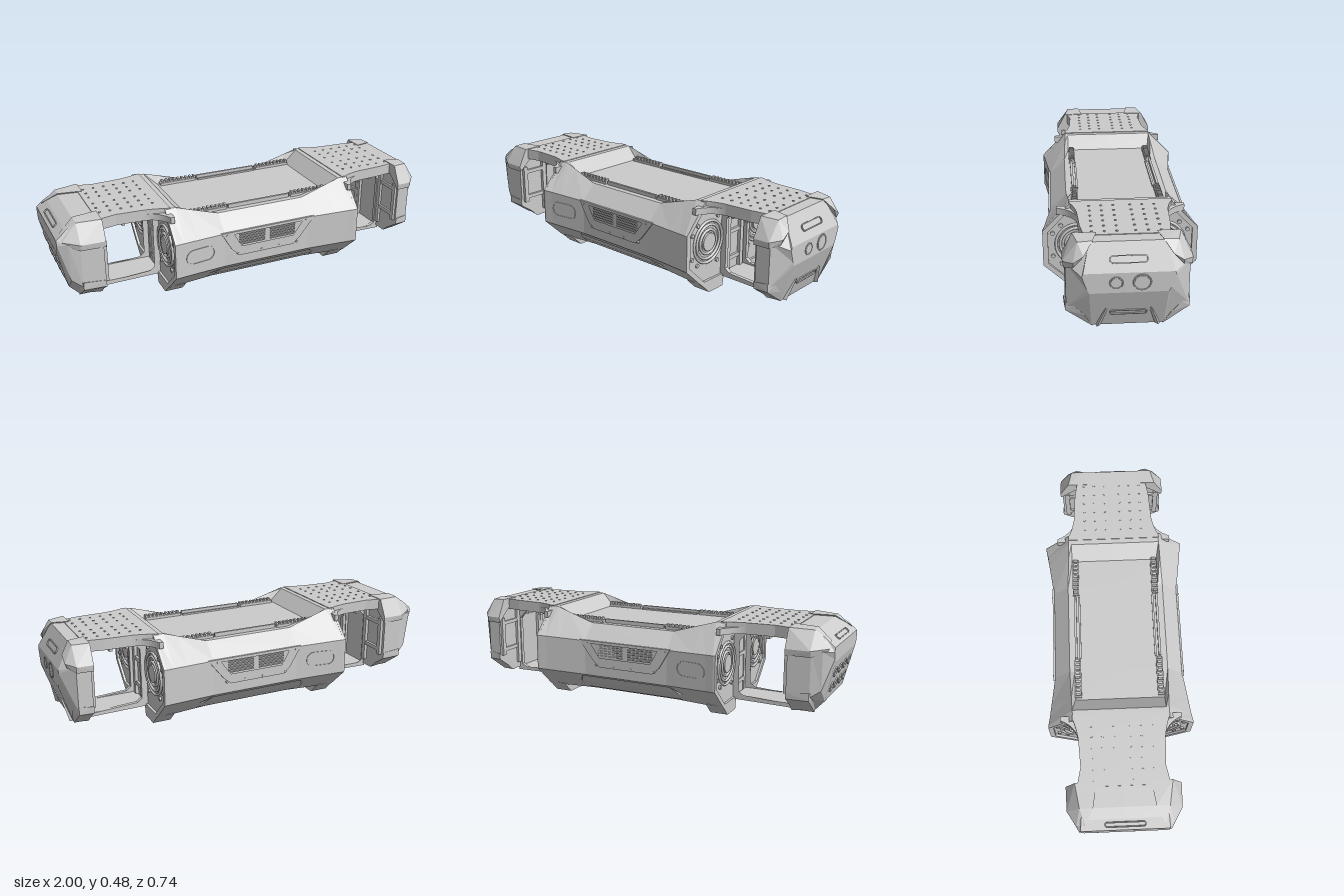
import * as THREE from 'three';
import { ConvexGeometry } from 'three/addons/geometries/ConvexGeometry.js';

const mat = new THREE.MeshStandardMaterial({ color: 0xcccccc });

// Closed flat-shaded skin through sections [x, half outline of [z, y]], x increasing
function loft(sections) {
  const rings = sections.map(([x, half]) => {
    const back = half.slice(1, -1).reverse().map(([z, y]) => [-z, y]);
    return [...half, ...back].map(([z, y]) => [x, y, z]);
  });
  const n = rings[0].length, pos = [], last = rings[rings.length - 1];
  const tri = (...p) => p.forEach((v) => pos.push(...v));
  for (let i = 0; i < rings.length - 1; i++) for (let j = 0; j < n; j++) {
    const k = (j + 1) % n, a = rings[i], b = rings[i + 1];
    tri(a[j], b[j], a[k]);
    tri(a[k], b[j], b[k]);
  }
  for (let j = 1; j < n - 1; j++) {
    tri(rings[0][0], rings[0][j], rings[0][j + 1]);
    tri(last[0], last[j + 1], last[j]);
  }
  const g = new THREE.BufferGeometry();
  g.setAttribute('position', new THREE.Float32BufferAttribute(pos, 3));
  g.computeVertexNormals();
  return g;
}

// Mirror across z with corrected winding
function mirrorZ(geo) {
  const g = geo.index ? geo.toNonIndexed() : geo.clone();
  g.scale(1, 1, -1);
  for (const a of Object.values(g.attributes)) {
    const s = a.itemSize;
    for (let t = 0; t < a.count; t += 3) for (let c = 0; c < s; c++) {
      const p = (t + 1) * s + c, q = (t + 2) * s + c, v = a.array[p];
      a.array[p] = a.array[q];
      a.array[q] = v;
    }
  }
  return g;
}

const hull = (pts) => new ConvexGeometry(pts.map((p) => new THREE.Vector3(...p)));
const box = (x0, x1, y0, y1, z0, z1) =>
  new THREE.BoxGeometry(x1 - x0, y1 - y0, z1 - z0).translate((x0 + x1) / 2, (y0 + y1) / 2, (z0 + z1) / 2);
const poly = (pts) => new THREE.Shape(pts.map((p) => new THREE.Vector2(...p)));
const extrude = (shape, depth) => new THREE.ExtrudeGeometry(shape, { depth, bevelEnabled: false, curveSegments: 10 });
const discX = (r, h, x, y, z, seg = 24) =>
  new THREE.CylinderGeometry(r, r, h, seg).rotateZ(Math.PI / 2).translate(x, y, z);

// Rounded-end slot outline
function pillShape(w, h) {
  const s = new THREE.Shape(), a = w / 2 - h / 2;
  s.absarc(a, 0, h / 2, -Math.PI / 2, Math.PI / 2);
  s.absarc(-a, 0, h / 2, Math.PI / 2, Math.PI * 1.5);
  s.closePath();
  return s;
}
function pillRim(w, h, t) {
  const s = pillShape(w, h);
  s.holes.push(pillShape(w - 2 * t, h - 2 * t));
  return extrude(s, 0.006);
}

export function createModel() {
  const root = new THREE.Group();
  const add = (name, geo) => {
    const m = new THREE.Mesh(geo, mat);
    m.name = name;
    root.add(m);
  };
  const addPair = (name, geo) => { add(name, geo); add(name, mirrorZ(geo)); };

  // Main hull: flared ends, narrower waist, sunken top panel
  const rib = (t, yOuter, yInner) => {
    const L = (a, b) => a + (b - a) * t;
    return [[0, 0.05], [L(0.25, 0.22), 0.05], [L(0.368, 0.33), L(0.16, 0.15)], [L(0.368, 0.33), L(0.34, 0.33)],
      [L(0.237, 0.25), yOuter], [0.225, yInner], [0, yInner]];
  };
  add('hull', loft([
    [-0.46, rib(0, 0.477, 0.477)], [-0.42, rib(0.2, 0.476, 0.476)], [-0.35, rib(0.45, 0.455, 0.41)],
    [-0.2, rib(1, 0.41, 0.41)], [0.27, rib(1, 0.41, 0.41)],
    [0.42, rib(0.45, 0.455, 0.41)], [0.49, rib(0.2, 0.476, 0.476)], [0.53, rib(0, 0.477, 0.477)],
  ]));

  // Octagonal end rims, hip motor flanges, bolts and feet
  const oct = (k) => [[0.25, 0.05], [0.368, 0.16], [0.368, 0.34], [0.237, 0.478]]
    .map(([z, y]) => [z * k, 0.265 + (y - 0.265) * k]);
  const full = (h) => [...h, ...h.slice().reverse().map(([z, y]) => [-z, y])];
  for (const [x, d] of [[0.53, 1], [-0.46, -1]]) {
    const rim = poly(full(oct(1)));
    rim.holes.push(poly(full(oct(0.93))));
    add('endRim', extrude(rim, 0.012).rotateY(Math.PI / 2).translate(d > 0 ? x : x - 0.012, 0, 0));
    for (const r of [0.105, 0.085, 0.06])
      addPair('hipRing', new THREE.TorusGeometry(r, 0.007, 8, 40).rotateY(Math.PI / 2).translate(x + d * 0.004, 0.265, 0.2));
    addPair('hipHub', discX(0.045, 0.016, x + d * 0.004, 0.265, 0.2));
    for (const [z, y] of [[0.32, 0.325], [0.32, 0.205], [0.28, 0.365], [0.28, 0.163], [0.13, 0.38], [0.13, 0.15]])
      addPair('hipBolt', discX(0.01, 0.01, x + d * 0.004, y, z, 12));
    addPair('endPost', box(x - 0.005, x + 0.017, 0.07, 0.45, 0.04, 0.065));
    for (const y of [0.12, 0.26, 0.4])
      add('endBrace', box(x - 0.005, x + 0.012, y, y + 0.02, -0.04, 0.04));
    const xi = x - d * 0.08, xo = x + d * 0.012;
    addPair('foot', hull([xi, xo].flatMap((px) =>
      [[px, 0.06, 0.08], [px, 0, 0.09], [px, 0, 0.195], [px, 0.06, 0.258]])));
  }

  // Side armour: shield, vent slats, skirt, access slot and seam strips
  const shield = poly([[-0.22, 0.335], [0.3, 0.335], [0.22, 0.235], [0.18, 0.2], [-0.12, 0.2], [-0.16, 0.235]]);
  shield.holes.push(poly([[-0.15, 0.32], [0.23, 0.32], [0.18, 0.25], [-0.11, 0.25]]));
  addPair('sideShield', extrude(shield, 0.01).translate(0, 0, 0.328));
  for (let i = 0; i < 5; i++) {
    const y = 0.256 + i * 0.013;
    for (const c of [-0.05, 0.12])
      addPair('ventSlat', box(c - 0.07, c + 0.07, y, y + 0.006, 0.325, 0.336));
  }
  addPair('sideSkirt', hull([[-0.27, 0.1, 0.282], [-0.22, 0.148, 0.34], [0.28, 0.148, 0.34], [0.33, 0.1, 0.282],
    [-0.27, 0.06, 0.24], [0.33, 0.06, 0.24], [-0.25, 0.105, 0.3], [0.31, 0.105, 0.3]]));
  addPair('accessSlot', pillRim(0.16, 0.08, 0.006).rotateY(0.14).translate(-0.335, 0.25, 0.346));
  for (const x of [-0.19, -0.13, 0, 0.1, 0.2, 0.25])
    addPair('sideBolt', new THREE.CylinderGeometry(0.006, 0.006, 0.012, 8).rotateX(Math.PI / 2)
      .translate(x, x < -0.15 || x > 0.22 ? 0.32 : 0.21, 0.335));

  // Top panel rails
  for (const [a, b] of [[-0.34, -0.14], [0.22, 0.42]]) {
    addPair('accessoryRail', box(a, b, 0.405, 0.424, 0.192, 0.225));
    for (let i = 0; i < 9; i++)
      addPair('railTooth', box(a + 0.008 + i * 0.0225, a + 0.02 + i * 0.0225, 0.42, 0.435, 0.197, 0.22));
  }
  addPair('railBar', box(-0.13, 0.21, 0.405, 0.418, 0.188, 0.198));
  addPair('railBar', box(-0.13, 0.21, 0.405, 0.43, 0.208, 0.22));

  // Bridges joining the hull to both end modules
  const bays = [
    { d: 1, x0: 0.535, x1: 0.87, zMid: 0.2, zEnd: 0.185 },
    { d: -1, x0: 0.465, x1: 0.8, zMid: 0.205, zEnd: 0.225 },
  ];
  for (const { d, x0, x1, zMid, zEnd } of bays) {
    const deckShape = (zStart) => {
      const s = new THREE.Shape();
      s.moveTo(d * (x0 - 0.02), -zStart);
      s.lineTo(d * x0, -zStart);
      s.quadraticCurveTo(d * (x0 + 0.03), -zMid - 0.02, d * (x0 + 0.1), -zMid - 0.008);
      s.lineTo(d * (x0 + 0.24), -zMid);
      s.lineTo(d * x1, -zEnd);
      s.lineTo(d * x1, zEnd);
      s.lineTo(d * (x0 + 0.24), zMid);
      s.lineTo(d * (x0 + 0.1), zMid + 0.008);
      s.quadraticCurveTo(d * (x0 + 0.03), zMid + 0.02, d * x0, zStart);
      s.lineTo(d * (x0 - 0.02), zStart);
      return s;
    };
    add('deck', extrude(deckShape(0.24), 0.025).rotateX(Math.PI / 2).translate(0, 0.48, 0));
    add('deckFlare', extrude(deckShape(0.3), 0.032).rotateX(Math.PI / 2).translate(0, 0.456, 0));
    for (let i = 0; i < 6; i++) for (const z of [0.04, 0.095, 0.15])
      addPair('deckBolt', new THREE.CylinderGeometry(0.006, 0.006, 0.004, 8)
        .translate(d * (x0 + 0.04 + i * 0.053), 0.481, z));
    // Chamfered side frames and floor
    const P = (pts) => poly(pts.map(([x, y]) => [d * x, y]));
    const frame = P([[x0 - 0.01, 0.055], [x1, 0.05], [x1, 0.44], [x0 - 0.01, 0.44]]);
    frame.holes.push(P([[x0 + 0.025, 0.1], [x0 + 0.05, 0.08], [x1 - 0.06, 0.068], [x1 - 0.025, 0.085],
      [x1 - 0.025, 0.355], [x1 - 0.07, 0.405], [x0 + 0.065, 0.405], [x0 + 0.025, 0.36]]));
    addPair('bayFrame', extrude(frame, 0.02).translate(0, 0, 0.075));
    const [a, b] = d > 0 ? [x0, x1] : [-x1, -x0];
    add('bayFloor', box(a, b, 0.054, 0.07, -0.09, 0.09));
    for (const t of [0.12, 0.2])
      add('deckRib', box(d * (x0 + t) - 0.008, d * (x0 + t) + 0.008, 0.405, 0.43, -zMid + 0.02, zMid - 0.02));
  }

  // Front module: faceted shell with sensor face
  add('frontShell', loft([
    [0.86, [[0, 0.068], [0.17, 0.068], [0.272, 0.165], [0.272, 0.385], [0.215, 0.477], [0, 0.477]]],
    [0.93, [[0, 0.07], [0.16, 0.07], [0.268, 0.165], [0.268, 0.385], [0.165, 0.477], [0, 0.477]]],
    [0.995, [[0, 0.265], [0.17, 0.265], [0.18, 0.285], [0.2, 0.345], [0.195, 0.36], [0, 0.36]]],
  ]));
  const onEnd = (g, d, tilt, x, y, z) => g.rotateX(-tilt).rotateY(d * Math.PI / 2).translate(x, y, z);
  add('upperSlot', onEnd(pillRim(0.165, 0.036, 0.005), 1, 0.52, 0.967, 0.41, 0));
  add('lowerSlot', onEnd(pillRim(0.165, 0.028, 0.005), 1, -0.32, 0.955, 0.148, 0));
  for (const [z, r] of [[0.055, 0.027], [-0.055, 0.037]]) {
    add('sensorRing', new THREE.TorusGeometry(r, 0.003, 6, 32).rotateY(Math.PI / 2).translate(0.995, 0.313, z));
    add('sensorLens', discX(r * 0.85, 0.004, 0.995, 0.313, z, 32));
  }
  addPair('chinRidge', hull([[0.93, 0.068, 0.12], [0.934, 0.068, 0.14], [0.963, 0.17, 0.09],
    [0.97, 0.17, 0.1], [0.945, 0.068, 0.135], [0.92, 0.09, 0.14], [0.94, 0.17, 0.1]]));

  // Rear module: deeper shell with a rounded-back profile and ports
  add('rearShell', loft([
    [-0.998, [[0, 0.335], [0.2, 0.335], [0.212, 0.35], [0.222, 0.385], [0.215, 0.405], [0, 0.405]]],
    [-0.95, [[0, 0.13], [0.17, 0.13], [0.245, 0.2], [0.25, 0.385], [0.21, 0.445], [0, 0.445]]],
    [-0.9, [[0, 0.075], [0.16, 0.075], [0.265, 0.165], [0.265, 0.385], [0.2, 0.475], [0, 0.475]]],
    [-0.79, [[0, 0.065], [0.17, 0.065], [0.275, 0.165], [0.275, 0.385], [0.225, 0.477], [0, 0.477]]],
  ]));
  for (const [y, zs] of [[0.27, [0.045, 0.135]], [0.19, [0.045, 0.12]]])
    for (const z of zs)
      addPair('rearPort', onEnd(new THREE.TorusGeometry(0.022, 0.005, 6, 24), -1, -0.23, -0.951 - (y - 0.13) * 0.234, y, z));
  add('rearSlot', onEnd(pillRim(0.2, 0.03, 0.005), -1, 0.88, -0.973, 0.426, 0));

  // Corner bumpers and inner mounting flanges on both modules
  for (const [d, xi, xm, xe] of [[1, 0.85, 0.93, 0.972], [-1, 0.78, 0.9, 0.975]]) {
    addPair('topBumper', hull([[xi, 0.483, 0.13], [xi, 0.483, 0.235], [xi, 0.39, 0.283], [xi, 0.36, 0.28],
      [xm, 0.482, 0.15], [xm, 0.478, 0.215], [xm, 0.39, 0.28], [xm, 0.36, 0.275],
      [xe, 0.43, 0.19], [xe, 0.4, 0.235], [xe - 0.01, 0.375, 0.235]].map(([x, y, z]) => [d * x, y, z])));
    addPair('lowerBumper', hull([[xi + 0.01, 0.062, 0.15], [xi + 0.01, 0.15, 0.278], [xi + 0.01, 0.185, 0.28],
      [xm, 0.065, 0.155], [xm, 0.15, 0.272], [xm, 0.19, 0.272], [xm + 0.015, 0.13, 0.19],
      [xm + 0.015, 0.18, 0.235]].map(([x, y, z]) => [d * x, y, z])));
    const x = d * (xi + 0.005);
    addPair('mountPost', box(x - 0.008, x + 0.012, 0.1, 0.45, 0.1, 0.125));
    addPair('mountPost', box(x - 0.008, x + 0.012, 0.17, 0.38, 0.235, 0.26));
    for (const y of [0.19, 0.34]) addPair('mountBrace', box(x - 0.006, x + 0.01, y, y + 0.02, 0.12, 0.24));
  }
  return root;
}
